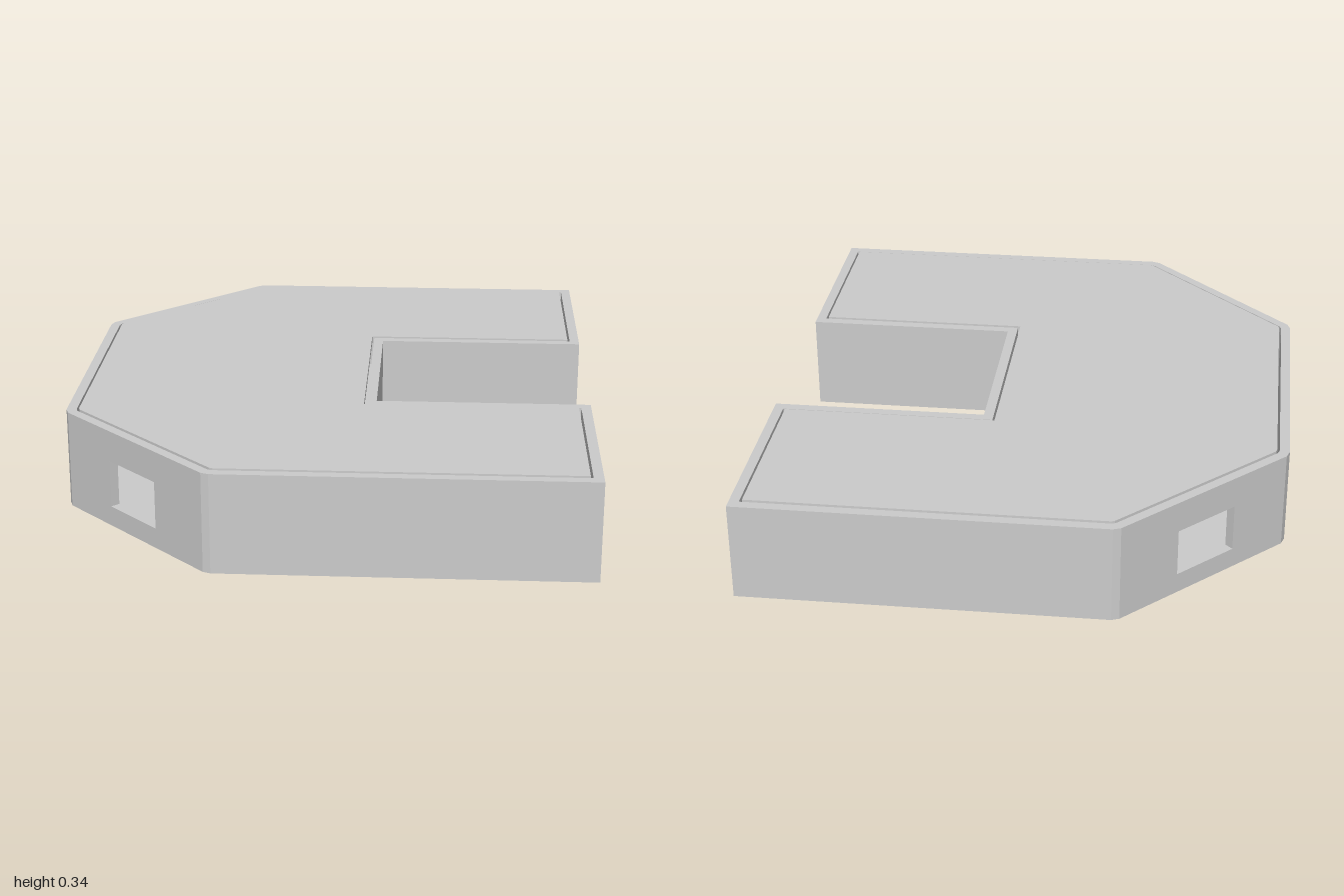
import * as THREE from 'three';

const HEIGHT = 0.333, WALL = 0.033;

// Plan outline as [x, z], front half then its mirror image
const half = [
  [-0.87, 0.46], [-0.86, 0.49], [-0.36, 0.99], [-0.335, 1],
  [0.87, 1], [0.87, 0.32], [0.155, 0.32],
];
const outline = [...half, ...half.map(([x, z]) => [x, -z]).reverse()]
  .map(([x, z]) => new THREE.Vector2(x, z));

// Openings by wall number: [along start, along end, bottom, top]
const openings = {
  1: [0.226, 0.467, 0.068, 0.228],
  11: [0.24, 0.481, 0.068, 0.228],
  4: [0.11, 0.243, 0.008, 0.225],
  8: [0.405, 0.538, 0.008, 0.225],
};

const at = (list, i) => list[(i + list.length) % list.length];
const direction = (i) => at(outline, i + 1).clone().sub(at(outline, i)).normalize();
const outward = (i) => { const d = direction(i); return new THREE.Vector2(-d.y, d.x); };

// Mitred inward offset of the plan
function inset(t) {
  return outline.map((p, i) => {
    const a = outward(i - 1), b = outward(i);
    return p.clone().addScaledVector(a.clone().add(b), -t / (1 + a.dot(b)));
  });
}

// Upright wall with a mitre at each end and an optional opening
function wallGeometry(i, inner) {
  const p = outline[i], d = direction(i), n = outward(i);
  const length = at(outline, i + 1).distanceTo(p);
  const shape = new THREE.Shape([
    new THREE.Vector2(0, 0), new THREE.Vector2(length, 0),
    new THREE.Vector2(length, HEIGHT), new THREE.Vector2(0, HEIGHT),
  ]);
  if (openings[i]) {
    const [u0, u1, y0, y1] = openings[i];
    shape.holes.push(new THREE.Path([
      new THREE.Vector2(u0, y0), new THREE.Vector2(u0, y1),
      new THREE.Vector2(u1, y1), new THREE.Vector2(u1, y0),
    ]));
  }
  const geo = new THREE.ExtrudeGeometry(shape, { depth: WALL, bevelEnabled: false });
  geo.translate(0, 0, -WALL);
  const start = inner[i].clone().sub(p).dot(d);
  const end = at(inner, i + 1).clone().sub(p).dot(d);
  const pos = geo.attributes.position;
  for (let k = 0; k < pos.count; k++) {
    if (pos.getZ(k) > -WALL / 2) continue;
    if (pos.getX(k) < 1e-5) pos.setX(k, start);
    else if (pos.getX(k) > length - 1e-5) pos.setX(k, end);
  }
  geo.applyMatrix4(new THREE.Matrix4().makeBasis(
    new THREE.Vector3(d.x, 0, d.y), new THREE.Vector3(0, 1, 0), new THREE.Vector3(n.x, 0, n.y),
  ).setPosition(p.x, 0, p.y));
  geo.computeVertexNormals();
  return geo;
}

// Horizontal slab between two heights
function slabGeometry(points, y0, y1) {
  const shape = new THREE.Shape(points.map((p) => new THREE.Vector2(p.x, -p.y)));
  const geo = new THREE.ExtrudeGeometry(shape, { depth: y1 - y0, bevelEnabled: false });
  return geo.rotateX(-Math.PI / 2).translate(0, y0, 0);
}

export function createModel() {
  const model = new THREE.Group();
  model.name = 'building';
  const material = new THREE.MeshStandardMaterial({ color: 0xcccccc });
  const add = (parent, geometry, name) => {
    const mesh = new THREE.Mesh(geometry, material);
    mesh.name = name;
    parent.add(mesh);
  };

  // Walls with two windows and two doorways
  const walls = new THREE.Group();
  walls.name = 'walls';
  model.add(walls);
  const inner = inset(WALL);
  outline.forEach((_, i) => {
    const kind = i === 1 || i === 11 ? 'windowWall' : openings[i] ? 'doorWall' : 'wall';
    add(walls, wallGeometry(i, inner), kind + i);
  });

  // Floor between the walls, and a roof panel with a narrow gap around it
  add(model, slabGeometry(inner, 0, 0.02), 'floor');
  add(model, slabGeometry(inset(WALL + 0.008), 0.312, 0.336), 'roof');
  return model;
}
